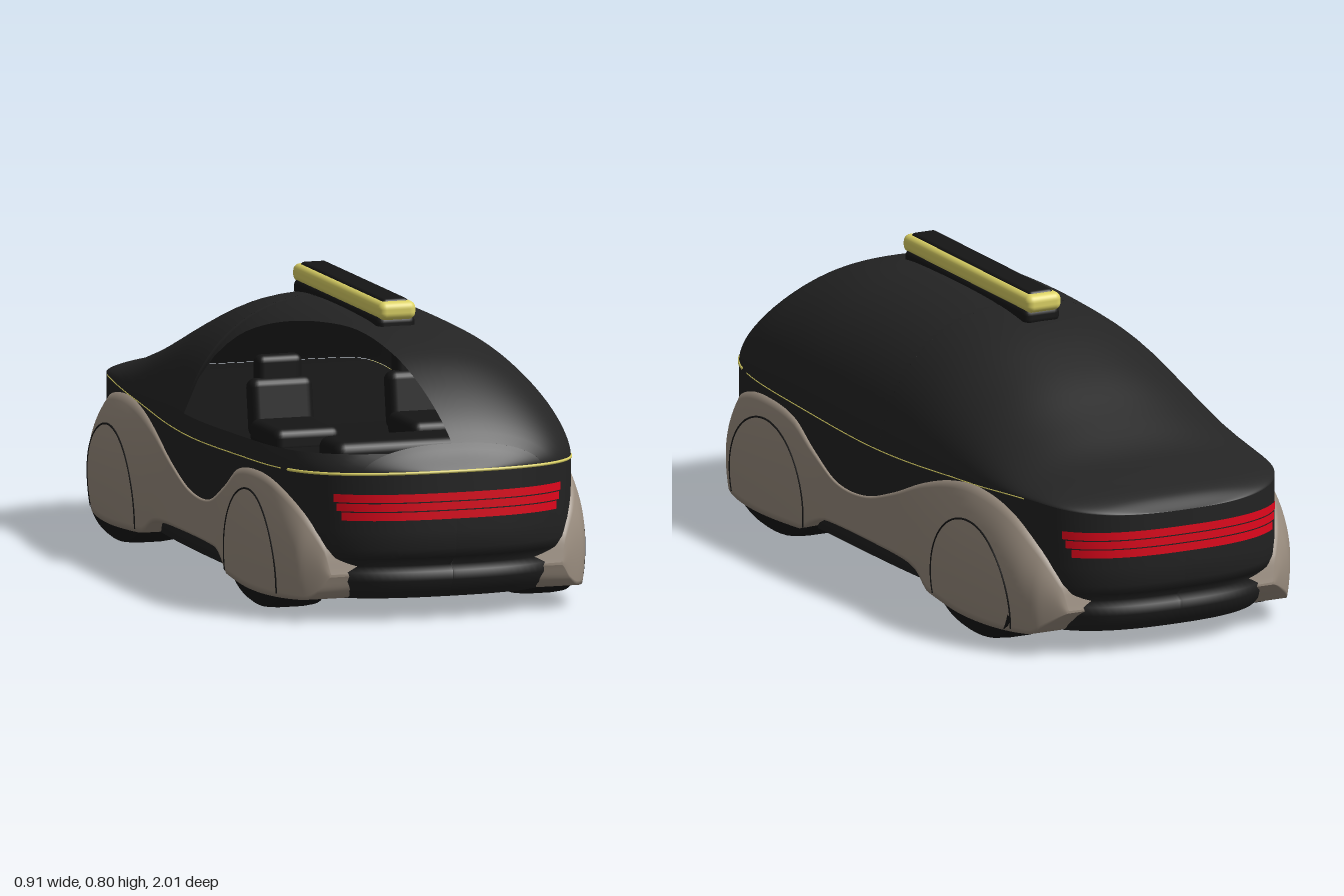
import * as THREE from 'three';
import { RoundedBoxGeometry } from 'three/addons/geometries/RoundedBoxGeometry.js';

const mat = (name, color, side = THREE.FrontSide) => {
  const m = new THREE.MeshStandardMaterial({ color, side });
  m.name = name;
  return m;
};

// Smooth curve through [position, value] pairs in rising order
function curve(pts) {
  const n = pts.length - 1;
  const slope = (i) => {
    const a = pts[Math.max(0, i - 1)], b = pts[Math.min(n, i + 1)];
    return (b[1] - a[1]) / (b[0] - a[0]);
  };
  return (t) => {
    t = Math.min(pts[n][0], Math.max(pts[0][0], t));
    let i = 0;
    while (i < n - 1 && t > pts[i + 1][0]) i++;
    const h = pts[i + 1][0] - pts[i][0], u = (t - pts[i][0]) / h, w = 1 - u;
    return pts[i][1] * w * w * (1 + 2 * u) + pts[i + 1][1] * u * u * (3 - 2 * u)
      + h * u * w * (slope(i) * w - slope(i + 1) * u);
  };
}

// Grid surface; its outside is d/du x d/dv
function patch(nu, nv, fn) {
  const pos = [], idx = [];
  for (let i = 0; i <= nu; i++) for (let j = 0; j <= nv; j++) {
    pos.push(...fn(i / nu, j / nv));
    if (i < nu && j < nv) {
      const a = i * (nv + 1) + j, b = a + nv + 1;
      idx.push(a, b, a + 1, b, b + 1, a + 1);
    }
  }
  const g = new THREE.BufferGeometry();
  g.setAttribute('position', new THREE.Float32BufferAttribute(pos, 3));
  g.setIndex(idx);
  g.computeVertexNormals();
  return g;
}

// Main lines of the car, all as functions of z
const width = curve([[-1, 0.4], [-0.75, 0.394], [-0.5, 0.395], [-0.2, 0.413], [0, 0.419], [0.3, 0.421], [0.8, 0.422], [1, 0.42]]);
const plan = (z) => width(z) * Math.pow(Math.max(0, 1 - z ** 8), 0.4);
const belt = curve([[-1, 0.395], [-0.8, 0.42], [-0.5, 0.4], [0, 0.378], [0.5, 0.392], [1, 0.41]]);
const roof = curve([[-1, 0.395], [-0.95, 0.428], [-0.85, 0.457], [-0.74, 0.487], [-0.6, 0.55], [-0.4, 0.645], [-0.2, 0.715],
  [0, 0.737], [0.4, 0.737], [0.55, 0.722], [0.7, 0.68], [0.8, 0.625], [0.9, 0.545], [0.97, 0.465], [1, 0.41]]);
const ease = (s) => Math.sin(Math.PI / 2 * Math.sin(Math.PI / 2 * s));

// Lower body levels: height, length factor, width factor
const levels = [[0.06, 0.93, 0.93], [0.08, 0.95, 0.95], [0.11, 0.967, 0.97], [0.135, 0.97, 0.98], [0.15, 0.95, 0.985],
  [0.175, 0.985, 0.99], [0.2, 0.996, 1], [0.25, 1, 1], [0.36, 1, 1], [0.45, 1, 1]];
function level(y) {
  let i = 0;
  while (i < levels.length - 2 && y > levels[i + 1][0]) i++;
  const a = levels[i], b = levels[i + 1], t = (y - a[0]) / (b[0] - a[0]);
  return [a[1] + (b[1] - a[1]) * t, a[2] + (b[2] - a[2]) * t];
}
const bodyX = (z, y) => { const [l, w] = level(y); return plan(Math.min(1, Math.max(-1, z / l))) * w; };

// Side panel outline and swell
const END = 0.915;
const panelTop = curve([[-0.915, 0.13], [-0.9, 0.195], [-0.84, 0.29], [-0.73, 0.37], [-0.57, 0.4], [-0.42, 0.385], [-0.28, 0.345],
  [-0.12, 0.28], [0.04, 0.232], [0.2, 0.232], [0.33, 0.29], [0.44, 0.352], [0.6, 0.37], [0.73, 0.35], [0.84, 0.29], [0.9, 0.2], [0.915, 0.13]]);
const panelBottom = curve([[-0.915, 0.125], [-0.88, 0.09], [-0.84, 0.06], [-0.34, 0.06], [-0.26, 0.1], [-0.15, 0.112],
  [0.25, 0.112], [0.32, 0.09], [0.38, 0.06], [0.87, 0.06], [0.9, 0.085], [0.915, 0.125]]);
const outer = curve([[-0.915, 0.34], [-0.86, 0.385], [-0.8, 0.42], [-0.7, 0.446], [-0.55, 0.457], [-0.4, 0.442], [-0.2, 0.42],
  [0, 0.416], [0.25, 0.422], [0.4, 0.44], [0.6, 0.455], [0.75, 0.443], [0.85, 0.41], [0.915, 0.355]]);
function panelX(z, v) {
  const b = plan(z), ramp = Math.sqrt(Math.min(1, Math.max(0, (END - Math.abs(z)) / 0.05)));
  return b + 0.004 + Math.max(0, outer(z) - b) * (1 - v ** 4) * (1 - 0.25 * (1 - v) ** 4) * ramp;
}

// Canopy section, and the window opening on one front quarter (its edge measured in x)
const FRONT = 0.96;
const dome = (z, a) => {
  const c = Math.cos(a);
  return [-plan(z) * Math.sign(c) * Math.abs(c) ** 0.833,
    belt(z) + (roof(z) - belt(z)) * Math.max(0, Math.sin(a)) ** 1.176, z];
};
const cutX = curve([[-0.04, -0.42], [0, -0.34], [0.06, -0.27], [0.24, -0.185], [0.46, -0.12], [0.7, -0.07], [0.85, -0.03], [FRONT, 0]]);
const rimAngle = (z) => Math.asin(Math.min(1, 0.05 / Math.max(0.05, roof(z) - belt(z))) ** 0.85);
const cutAngle = (z) => Math.max(rimAngle(z), Math.acos(Math.min(1, Math.max(0, -cutX(z) / plan(z))) ** 1.2));

export function createModel() {
  const car = new THREE.Group();
  car.name = 'car';
  const paint = mat('blackPaint', 0x222222);
  const glass = mat('darkGlass', 0x242424, THREE.DoubleSide);
  const trim = mat('blackTrim', 0x161616);
  const beige = mat('beigePanel', 0x9b8e80);
  const red = mat('redLight', 0xe2061c, THREE.DoubleSide);
  const yellow = mat('yellowAccent', 0xded466);
  const add = (name, geo, material, parent = car) => {
    const m = new THREE.Mesh(geo, material);
    m.name = name;
    parent.add(m);
    return m;
  };

  // Lower body shell, floor and cabin deck
  add('lowerBody', patch(160, levels.length - 1, (u, v) => {
    const [y, l, w] = levels[Math.round(v * (levels.length - 1))];
    const z = ease(u < 0.5 ? 1 - 4 * u : 4 * u - 3), side = u < 0.5 ? 1 : -1;
    return [side * plan(z) * w, y > 0.4 ? belt(z) : y, z * l];
  }), paint);
  add('floor', patch(2, 60, (u, v) => {
    const z = ease(2 * v - 1);
    return [(2 * u - 1) * plan(z) * 0.93, 0.06, z * 0.93];
  }), trim);
  add('cabinDeck', patch(60, 2, (u, v) => {
    const z = ease(2 * u - 1);
    return [(2 * v - 1) * plan(z), belt(z) - 0.001, z];
  }), trim);

  // Canopy: full rear and nose, cut front quarter with a low rim
  const canopy = (name, from, to, nv) => add(name, patch(50, nv, (u, v) => {
    const z = -0.04 + (FRONT + 0.04) * u, a = from(z);
    return dome(z, a + (to(z) - a) * v);
  }), glass);
  canopy('frontCanopy', cutAngle, () => Math.PI, 40);
  canopy('windowRim', () => 0, rimAngle, 4);
  add('rearCanopy', patch(50, 40, (u, v) => dome(-0.04 - 0.96 * ease(1 - u), Math.PI * v)), glass);
  add('noseCanopy', patch(16, 40, (u, v) => dome(FRONT + (1 - FRONT) * ease(u), Math.PI * v)), glass);

  // Seats and dashboard
  for (const side of [-1, 1]) {
    const seat = new THREE.Group();
    seat.name = side < 0 ? 'rightSeat' : 'leftSeat';
    seat.position.set(side * 0.195, 0, 0.12);
    add('cushion', new RoundedBoxGeometry(0.19, 0.07, 0.22, 3, 0.025), trim, seat).position.set(0, 0.4, 0.12);
    const back = add('backrest', new RoundedBoxGeometry(0.18, 0.16, 0.06, 3, 0.025), trim, seat);
    back.position.set(0, 0.46, 0);
    back.rotation.x = -0.15;
    add('headrest', new RoundedBoxGeometry(0.13, 0.09, 0.05, 3, 0.02), trim, seat).position.set(0, 0.555, -0.02);
    car.add(seat);
  }
  add('dashboard', new RoundedBoxGeometry(0.56, 0.1, 0.16, 3, 0.03), trim).position.set(0, 0.42, 0.74);

  // Side panels with wheel cover grooves, and tyres
  for (const side of [1, -1]) {
    const flank = new THREE.Group();
    flank.name = side > 0 ? 'leftSide' : 'rightSide';
    flank.scale.x = side;
    car.add(flank);
    const nu = 20;
    add('sidePanel', patch(nu, 110, (u, s) => {
      const z = END * Math.sin(Math.PI / 2 * (2 * s - 1));
      const v = Math.min(1, Math.max(0, (u * nu - 1) / (nu - 2))), b = panelBottom(z);
      const y = b + Math.max(0.003, panelTop(z) - b) * v;
      // border rows turn inward to meet the body
      const border = u === 0 || u === 1 || s === 0 || s === 1;
      return [border ? bodyX(z, y) - 0.02 : panelX(z, v), y, z];
    }), beige, flank);
    for (const zc of [0.57, -0.58]) {
      const arc = [];
      for (let i = 0; i <= 30; i++) {
        const a = -0.2 + (Math.PI + 0.4) * i / 30;
        const z = zc + 0.21 * Math.cos(a), y = 0.108 + 0.21 * Math.sin(a), b = panelBottom(z);
        arc.push(new THREE.Vector3(panelX(z, Math.max(0, Math.min(1, (y - b) / (panelTop(z) - b)))), y, z));
      }
      add('wheelCoverGroove', new THREE.TubeGeometry(new THREE.CatmullRomCurve3(arc), 60, 0.0028, 6), trim, flank);
      const tyre = add('tyre', new THREE.LatheGeometry([[0, -0.072], [0.88, -0.072], [0.97, -0.06], [1, -0.03], [1, 0.03],
        [0.97, 0.06], [0.88, 0.072], [0, 0.072]].map(([r, h]) => new THREE.Vector2(r, h)), 40), trim, flank);
      tyre.rotation.z = Math.PI / 2;
      tyre.scale.set(0.1, 1, 0.23);
      tyre.position.set(0.352, 0.1, zc);
    }
  }

  // Light bars: three strips wrapped round each end
  for (const end of [1, -1]) {
    for (const [y0, y1, reach] of [[0.33, 0.352, 0.318], [0.306, 0.327, 0.312], [0.281, 0.303, 0.3]]) {
      // ends of the strip found by walking back along the outline
      let s0 = 1;
      while (plan(end * ease(s0)) < reach) s0 -= 0.002;
      add(end > 0 ? 'frontLight' : 'rearLight', patch(48, 1, (u, v) => {
        const t = 2 * u - 1, z = end * ease(1 - Math.abs(t) * (1 - s0));
        return [end * Math.sign(t) * (plan(z) + 0.003), y0 + (y1 - y0) * v, z * 1.002 + end * 0.002];
      }), red);
    }
  }

  // Accent lines: a bold one round the front belt, fine ones along the sides
  const beltLine = (name, radius, at) => {
    const pts = [];
    for (let i = 0; i <= 60; i++) {
      const [side, z] = at(i / 30 - 1);
      pts.push(new THREE.Vector3(side * plan(z), belt(z) - 0.002, z));
    }
    add(name, new THREE.TubeGeometry(new THREE.CatmullRomCurve3(pts), 120, radius, 6), yellow);
  };
  beltLine('frontAccent', 0.004, (t) => [Math.sign(t), ease(1 - Math.abs(t) * 0.62)]);
  for (const side of [1, -1]) beltLine('sideAccent', 0.0016, (t) => [side, -0.02 + 0.76 * t]);

  // Roof sensor bar
  const bar = new THREE.Group();
  bar.name = 'roofBar';
  bar.position.z = 0.163;
  add('barBase', new RoundedBoxGeometry(0.11, 0.05, 0.7, 3, 0.02), trim, bar).position.y = 0.731;
  add('barBody', new RoundedBoxGeometry(0.106, 0.05, 0.725, 4, 0.02), yellow, bar).position.y = 0.769;
  add('barTop', new RoundedBoxGeometry(0.076, 0.03, 0.68, 3, 0.012), trim, bar).position.y = 0.785;
  car.add(bar);
  return car;
}
